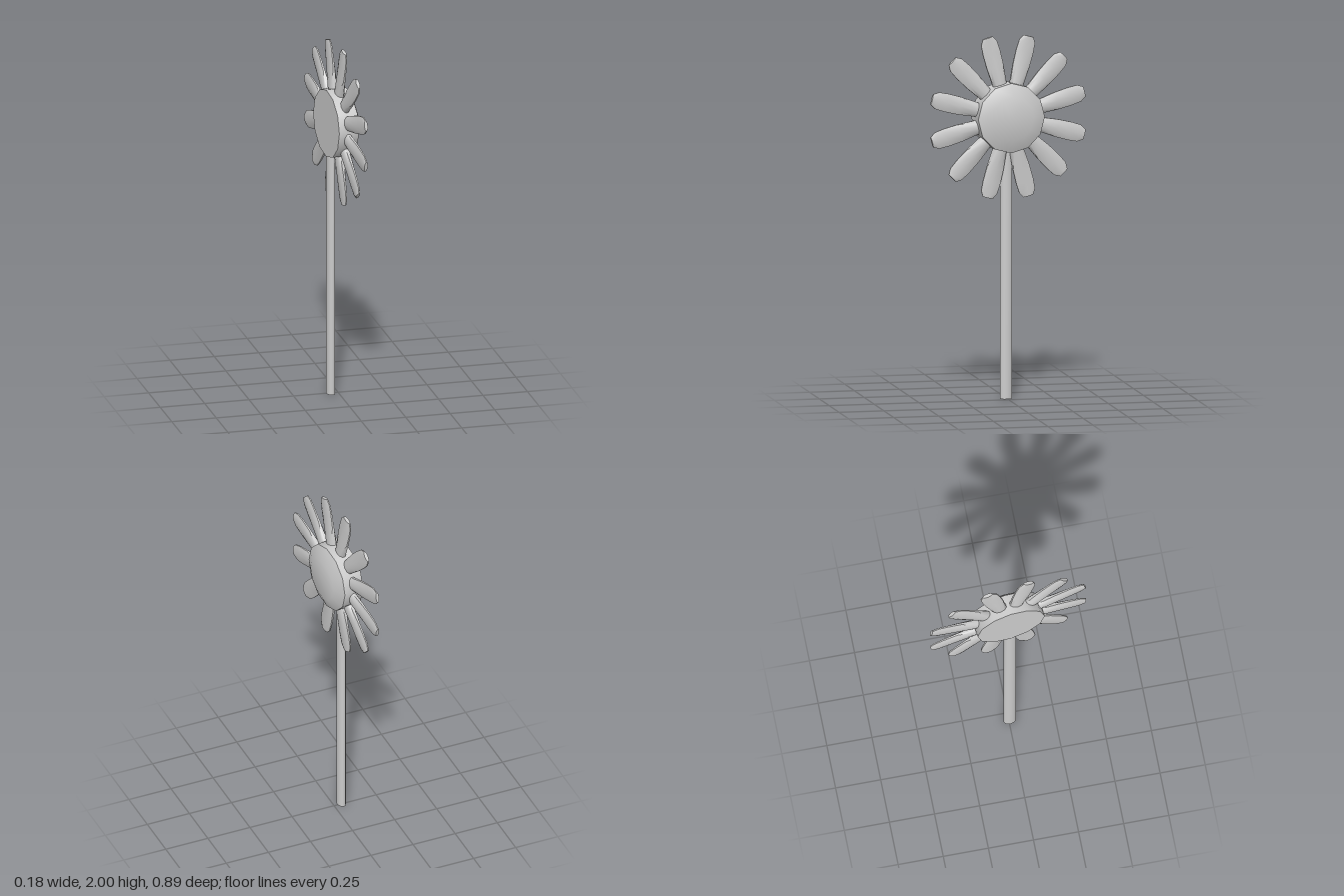
import * as THREE from 'three';
import { toCreasedNormals } from 'three/addons/utils/BufferGeometryUtils.js';

const grey = new THREE.MeshStandardMaterial({ color: 0xcccccc });
grey.name = 'light grey';

// Sections from base to tip: distance from the centre, half width, half thickness
const PETAL = [
  [0.14, 0.036, 0.024],
  [0.2, 0.042, 0.023],
  [0.29, 0.051, 0.017],
  [0.37, 0.053, 0.013],
  [0.425, 0.049, 0.011],
  [0.455, 0.03, 0.01],
];

function petalGeometry() {
  const last = PETAL.length - 1;
  const geometry = new THREE.CylinderGeometry(1, 1, 1, 10, last);
  const p = geometry.attributes.position;
  for (let i = 0; i < p.count; i++) {
    const [r, w, t] = PETAL[Math.round((p.getY(i) + 0.5) * last)];
    p.setXYZ(i, p.getX(i) * w, r, p.getZ(i) * t);
  }
  return toCreasedNormals(geometry, 1.0);
}

function addPart(parent, name, geometry) {
  const mesh = new THREE.Mesh(geometry, grey);
  mesh.name = name;
  parent.add(mesh);
  return mesh;
}

export function createModel() {
  const flower = new THREE.Group();
  flower.name = 'flower';

  // Everything is built facing +z, then turned to face the side
  const turned = new THREE.Group();
  turned.name = 'turnedFlower';
  turned.rotation.y = 1.697;
  flower.add(turned);

  // Flower head
  const head = new THREE.Group();
  head.name = 'flowerHead';
  head.position.y = 1.555;
  turned.add(head);

  // Central disc: flat back, straight rim, bevelled front
  const profile = [[0, -0.069], [0.192, -0.069], [0.192, 0.046], [0.12, 0.077], [0, 0.077]]
    .map(([r, y]) => new THREE.Vector2(r, y));
  const disc = new THREE.LatheGeometry(profile, 12).rotateX(Math.PI / 2);
  addPart(head, 'centreDisc', toCreasedNormals(disc, 0.9));

  // Ring of twelve petals
  const petal = petalGeometry();
  for (let i = 0; i < 12; i++) {
    const mesh = addPart(head, 'petal', petal);
    mesh.rotation.z = (i + 0.5) * Math.PI / 6;
    mesh.position.z = -0.012;
  }

  // Flattened stem, ending inside the disc
  const stem = new THREE.CylinderGeometry(1, 1, 1.42, 12).scale(0.035, 1, 0.0225);
  const stemMesh = addPart(turned, 'stem', toCreasedNormals(stem, 1.0));
  stemMesh.position.set(0, 0.71, -0.044);

  return flower;
}
